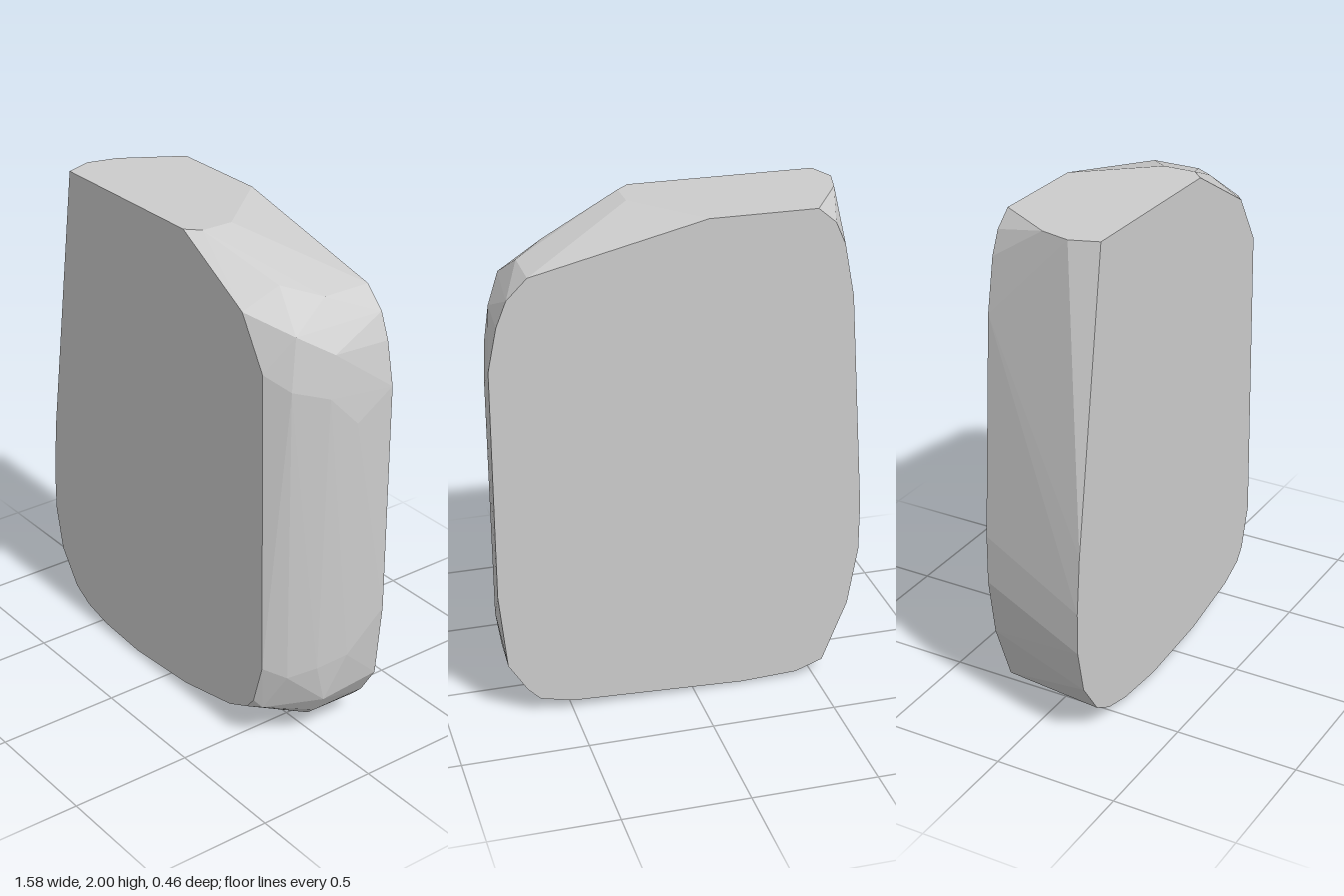
import * as THREE from 'three';
import { ConvexGeometry } from 'three/addons/geometries/ConvexGeometry.js';

const HALF = 0.23; // half the thickness

// Flat front outline, clockwise from the top left corner
const front = [
  [-0.6, 2], [0.14, 2], [0.49, 1.8], [0.61, 1.6], [0.63, 0.37], [0.58, 0.2],
  [0.54, 0.15], [0.43, 0.1], [0.14, 0.04], [-0.2, 0.015], [-0.43, 0.03],
  [-0.56, 0.06], [-0.65, 0.11], [-0.75, 0.25], [-0.79, 0.43], [-0.79, 0.6], [-0.77, 0.83],
];

// Flat back outline, wider on +x and narrower on -x
const back = [
  [-0.47, 2], [-0.05, 2], [0.63, 1.84], [0.71, 1.76], [0.75, 1.66], [0.785, 1.49],
  [0.785, 0.55], [0.755, 0.24], [0.68, 0.12], [0.63, 0.07], [0.5, 0.04], [-0.2, 0.01],
  [-0.43, 0.02], [-0.54, 0.06], [-0.64, 0.31], [-0.68, 0.55], [-0.68, 0.75],
  [-0.62, 1.64], [-0.58, 1.85], [-0.54, 1.94],
];

// Corners of the faceted bevel between the two faces
const bevel = [
  // top rim
  [-0.64, 2, 0.12], [-0.61, 2, 0], [0.19, 2, 0.18], [0.19, 2, 0.05],
  // upper shoulder
  [0.51, 1.87, 0.08], [0.67, 1.74, 0.13], [0.63, 1.84, -0.03], [0.735, 1.66, 0],
  // rounded side
  [0.69, 1.54, 0.16], [0.75, 1.5, 0.03], [0.775, 1.38, -0.08],
  [0.69, 0.33, 0.155], [0.74, 0.36, 0.05], [0.77, 0.39, -0.07],
  // lower corner and underside
  [0.6, 0.165, 0.2], [0.735, 0.2, 0.01], [0.68, 0.12, 0.01], [0.63, 0.075, 0],
  [0.48, 0.04, 0], [-0.2, 0, 0.05],
];

export function createModel() {
  const points = [
    ...front.map(([x, y]) => new THREE.Vector3(x, y, HALF)),
    ...back.map(([x, y]) => new THREE.Vector3(x, y, -HALF)),
    ...bevel.map((p) => new THREE.Vector3(...p)),
  ];
  const stone = new THREE.MeshStandardMaterial({ color: 0xcccccc });
  stone.name = 'light grey';

  // Faceted slab wrapped around all corners
  const slab = new THREE.Mesh(new ConvexGeometry(points), stone);
  slab.name = 'slab';

  const group = new THREE.Group();
  group.name = 'bevelledSlab';
  group.add(slab);
  return group;
}
